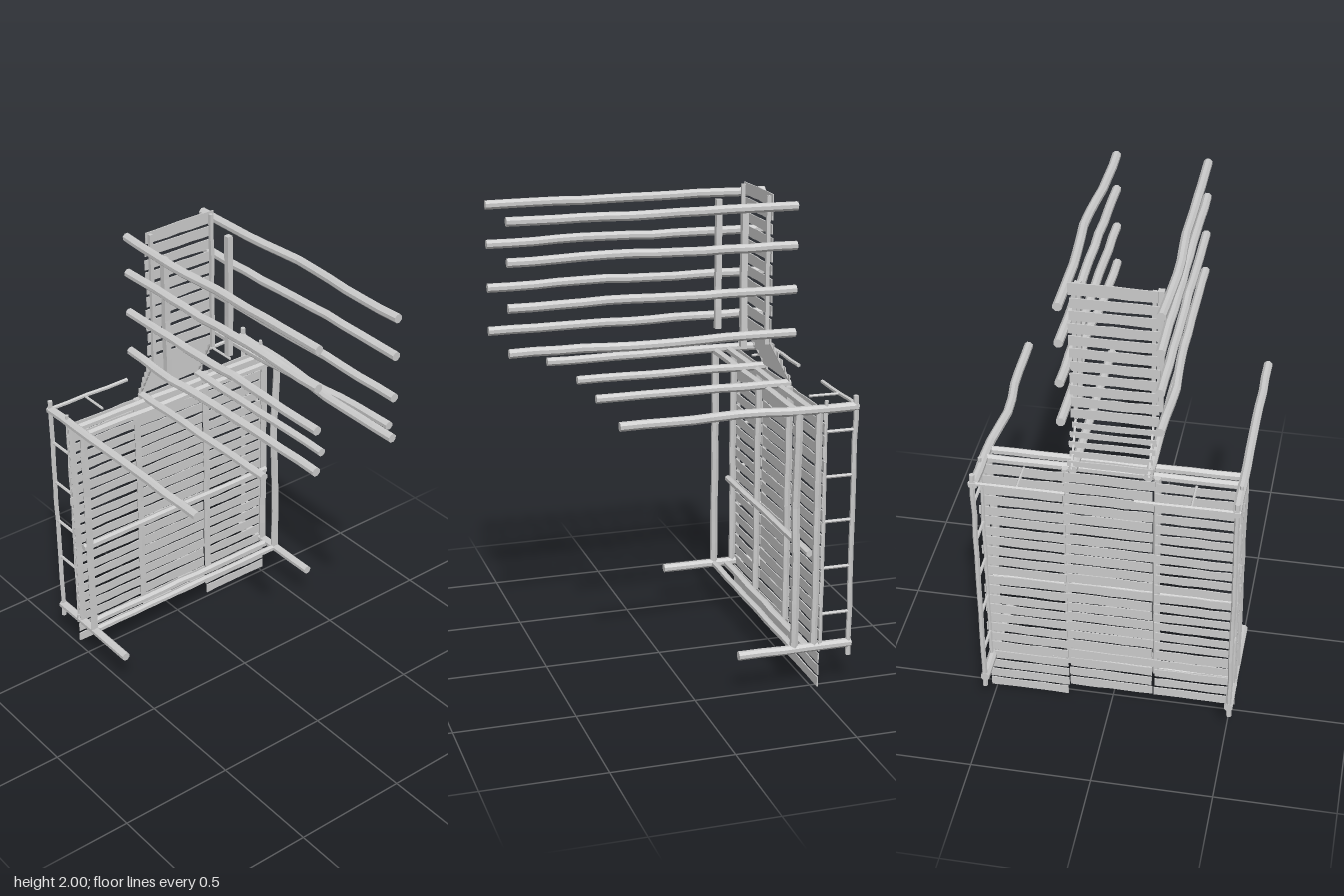
import * as THREE from 'three';

export function createModel() {
  const root = new THREE.Group();
  const mat = new THREE.MeshStandardMaterial({ color: 0xcccccc, flatShading: true });
  let seed = 7;
  const rnd = () => (seed = (seed * 16807) % 2147483647) / 2147483647;
  const jitter = (s) => (rnd() * 2 - 1) * s;
  const V = (x, y, z) => new THREE.Vector3(x, y, z);

  const add = (name, geo) => {
    const m = new THREE.Mesh(geo, mat);
    m.name = name;
    root.add(m);
    return m;
  };

  // Rough log from a to b; bend = [position along it, offset vector]
  function log(name, a, b, r, { sides = 8, wobble = 0.002, bend } = {}) {
    const dir = b.clone().sub(a), len = dir.length();
    const segs = Math.max(1, Math.round(len / 0.1));
    const geo = new THREE.CylinderGeometry(r, r, len, sides, segs);
    geo.rotateY(Math.PI / sides);
    geo.applyQuaternion(new THREE.Quaternion().setFromUnitVectors(V(0, 1, 0), dir.clone().normalize()));
    const mid = a.clone().add(b).multiplyScalar(0.5);
    geo.translate(mid.x, mid.y, mid.z);
    const shifts = Array.from({ length: segs + 1 }, (_, i) => {
      const s = V(jitter(wobble), jitter(wobble), jitter(wobble));
      if (i === 0 || i === segs) s.set(0, 0, 0);
      if (bend) s.addScaledVector(bend[1], Math.exp(-(((i / segs - bend[0]) / 0.15) ** 2)));
      return s;
    });
    const p = geo.attributes.position, v = V(0, 0, 0);
    for (let i = 0; i < p.count; i++) {
      v.fromBufferAttribute(p, i);
      const t = v.clone().sub(a).dot(dir) / (len * len);
      v.add(shifts[THREE.MathUtils.clamp(Math.round(t * segs), 0, segs)]);
      p.setXYZ(i, v.x, v.y, v.z);
    }
    geo.computeVertexNormals();
    return add(name, geo);
  }

  // Thin board with uneven long edges, standing in the xy plane
  function board(name, x0, x1, y0, y1, z, rough = 0.004) {
    const n = 6, w = x1 - x0, h = y1 - y0;
    const geo = new THREE.BoxGeometry(w, h, 0.005, n, 1, 1);
    const top = Array.from({ length: n + 1 }, () => -Math.abs(jitter(rough)));
    const bot = top.map(() => Math.abs(jitter(rough)));
    const endL = jitter(0.005), endR = jitter(0.005);
    const p = geo.attributes.position;
    for (let i = 0; i < p.count; i++) {
      const k = Math.round((p.getX(i) / w + 0.5) * n);
      p.setY(i, p.getY(i) + (p.getY(i) > 0 ? top[k] : bot[k]));
      if (k === 0) p.setX(i, p.getX(i) + endL);
      if (k === n) p.setX(i, p.getX(i) + endR);
    }
    geo.computeVertexNormals();
    add(name, geo).position.set((x0 + x1) / 2, (y0 + y1) / 2, z);
  }

  // Main deck: three columns of planks
  const columns = [[-0.525, -0.18, 0.06, 22, 0.009], [-0.172, 0.178, 0.06, 22, 0.004], [0.187, 0.528, 0, 23, 0.007]];
  for (const [x0, x1, bottom, count, gap] of columns) {
    const pitch = (1.2 - bottom) / count;
    for (let i = 0; i < count; i++) {
      const y = bottom + i * pitch;
      board('deckPlank', x0, x1, y, y + pitch - gap, -0.525 + jitter(0.002));
    }
  }

  // Walkway planks
  for (let i = 0; i < 11; i++) {
    const y = 1.385 + i * 0.056;
    board('walkwayPlank', -0.172, 0.172, y, y + 0.046 + (i === 10 ? 0.009 : 0), -0.425 + jitter(0.003));
  }

  // Steps between the walkway and the deck
  for (let i = 0; i < 5; i++) {
    const y = 1.215 + i * 0.034;
    board('stepTread', -0.168, 0.168, y, y + 0.03, -0.51 + i * 0.017, 0.003);
  }

  // Deck railing: outer rail with rungs, and an end rail with one short post
  const rungs = { '-1': [1.04, 0.84, 0.64, 0.45], 1: [1.1, 0.91, 0.72, 0.52, 0.32] };

  for (const s of [-1, 1]) {
    const bentOuter = s > 0 ? [0.48, V(-0.025, 0, 0)] : undefined;
    const bentWalk = s > 0 ? [0.48, V(0.022, 0, 0)] : [0.75, V(-0.014, 0, 0)];

    // Walkway posts
    [1.95, 1.79, 1.61, 1.43].forEach((y, i) =>
      log('walkwayPost', V(s * 0.192, y, 0.67), V(s * 0.192, y, -0.52), 0.019,
        { bend: i === 0 || i === 3 ? bentWalk : [0.35, V(0, 0.008, 0)] }));
    log('walkwayBrace', V(s * 0.16, 1.38, -0.308), V(s * 0.16, 1.93, -0.308), 0.018, { sides: 4 });
    log('walkwayStringer', V(s * 0.152, 1.38, -0.412), V(s * 0.152, 1.99, -0.412), 0.011, { sides: 4 });
    log('stepStringer', V(s * 0.152, 1.385, -0.428), V(s * 0.152, 1.21, -0.52), 0.006, { sides: 4, wobble: 0 });

    // Deck posts
    log('innerPost', V(s * 0.149, 1.205, 0.31), V(s * 0.149, 1.205, -0.52), 0.018);
    log('outerPost', V(s * 0.512, 1.195, s > 0 ? 0.315 : 0.35), V(s * 0.512, 1.195, -0.67), 0.019, { bend: bentOuter });
    log('lowerPost', V(s * 0.512, 0.178, -0.18), V(s * 0.512, 0.178, -0.67), 0.019);

    // Beams running along the deck
    log('sideBeam', V(s * 0.512, 0.18, -0.42), V(s * 0.512, 1.19, -0.42), 0.017,
      { sides: 6, bend: s > 0 ? [0.63, V(-0.014, 0, 0)] : undefined });
    log('sideJoist', V(s * 0.512, 0.17, -0.507), V(s * 0.512, 1.2, -0.507), 0.015, { sides: 6 });
    log('innerJoist', V(s * 0.183, 0.17, -0.505), V(s * 0.183, 1.2, -0.505), 0.015, { sides: 6 });

    // Railing
    log('sideRail', V(s * 0.515, 0.125, -0.66), V(s * 0.515, 1.24, -0.66), 0.011, { sides: 6 });
    log('sideRailBase', V(s * 0.515, 0.18, -0.535), V(s * 0.515, 1.23, -0.535), 0.008, { sides: 6 });
    for (const y of rungs[s]) log('railRung', V(s * 0.515, y, -0.53), V(s * 0.515, y, -0.66), 0.007, { sides: 6 });
    log('endRail', V(s * 0.53, 1.2, -0.664), V(s * (s > 0 ? 0.15 : 0.12), 1.2, -0.664), 0.009, { sides: 6 });
    log('endRailPost', V(s * 0.34, 1.2, -0.53), V(s * 0.34, 1.2, -0.664), 0.006, { sides: 6 });
  }

  // Cross beams
  for (const [y, z, r] of [[1.185, -0.42, 0.017], [1.19, -0.48, 0.017], [0.178, -0.42, 0.015], [0.172, -0.48, 0.017], [0.585, -0.482, 0.015]])
    log('crossBeam', V(-0.505, y, z), V(0.505, y, z), r, { sides: 6 });

  return root;
}
